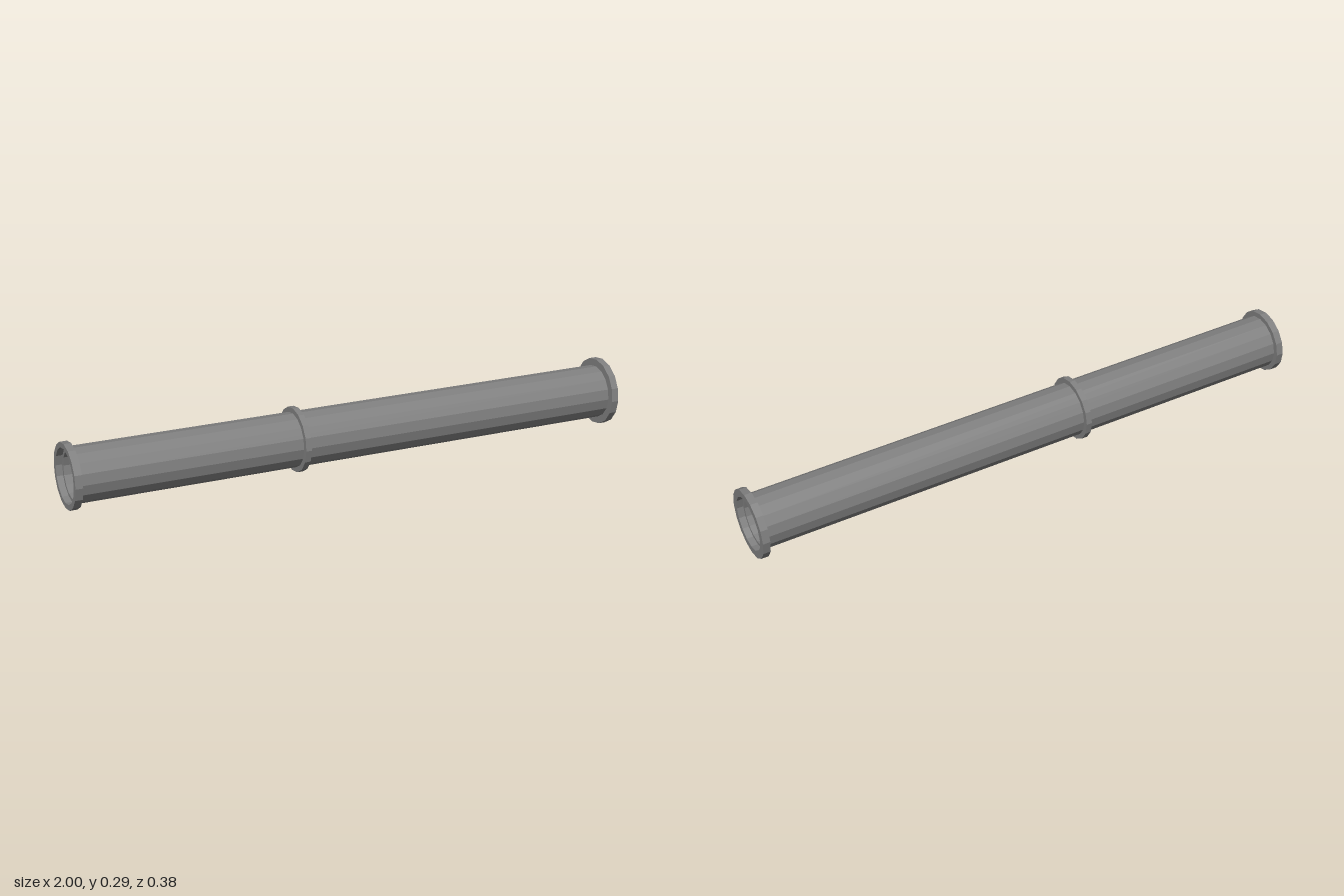
import * as THREE from 'three';

const SIDES = 16;
const LEFT_END = new THREE.Vector3(0.99, 0.119, -0.0705);
const RIGHT_END = new THREE.Vector3(-0.991, 0.178, 0.079);

export function createModel() {
  const material = new THREE.MeshStandardMaterial({ color: 0x808080, flatShading: true });
  const axis = LEFT_END.clone().sub(RIGHT_END);
  const length = axis.length();
  axis.normalize();

  // Hollow faceted ring or tube between two distances along the pipe
  function tube(name, start, end, outer, inner) {
    const profile = [[inner, start], [outer, start], [outer, end], [inner, end], [inner, start]]
      .map(([r, y]) => new THREE.Vector2(r, y));
    const mesh = new THREE.Mesh(new THREE.LatheGeometry(profile, SIDES), material);
    mesh.name = name;
    return mesh;
  }

  // Parts laid along local y, starting at the pipe's right end
  const pipe = new THREE.Group();
  pipe.name = 'pipe';
  const flange = 0.025;
  const recess = 0.022;
  const collar = length * 0.4;
  pipe.add(
    tube('pipeWall', recess, length - recess, 0.0925, 0.081),
    tube('rightFlange', 0, flange, 0.11, 0.092),
    tube('middleCollar', collar - 0.01, collar + 0.01, 0.11, 0.092),
    tube('leftFlange', length - flange, length, 0.1175, 0.092)
  );

  // Tilt the whole pipe, keeping one facet corner at the top
  const up = new THREE.Vector3(0, 1, 0).addScaledVector(axis, -axis.y).normalize();
  const side = axis.clone().cross(up);
  pipe.quaternion.setFromRotationMatrix(new THREE.Matrix4().makeBasis(side, axis, up));
  pipe.position.copy(RIGHT_END);

  const model = new THREE.Group();
  model.name = 'pipeModel';
  model.add(pipe);
  return model;
}
